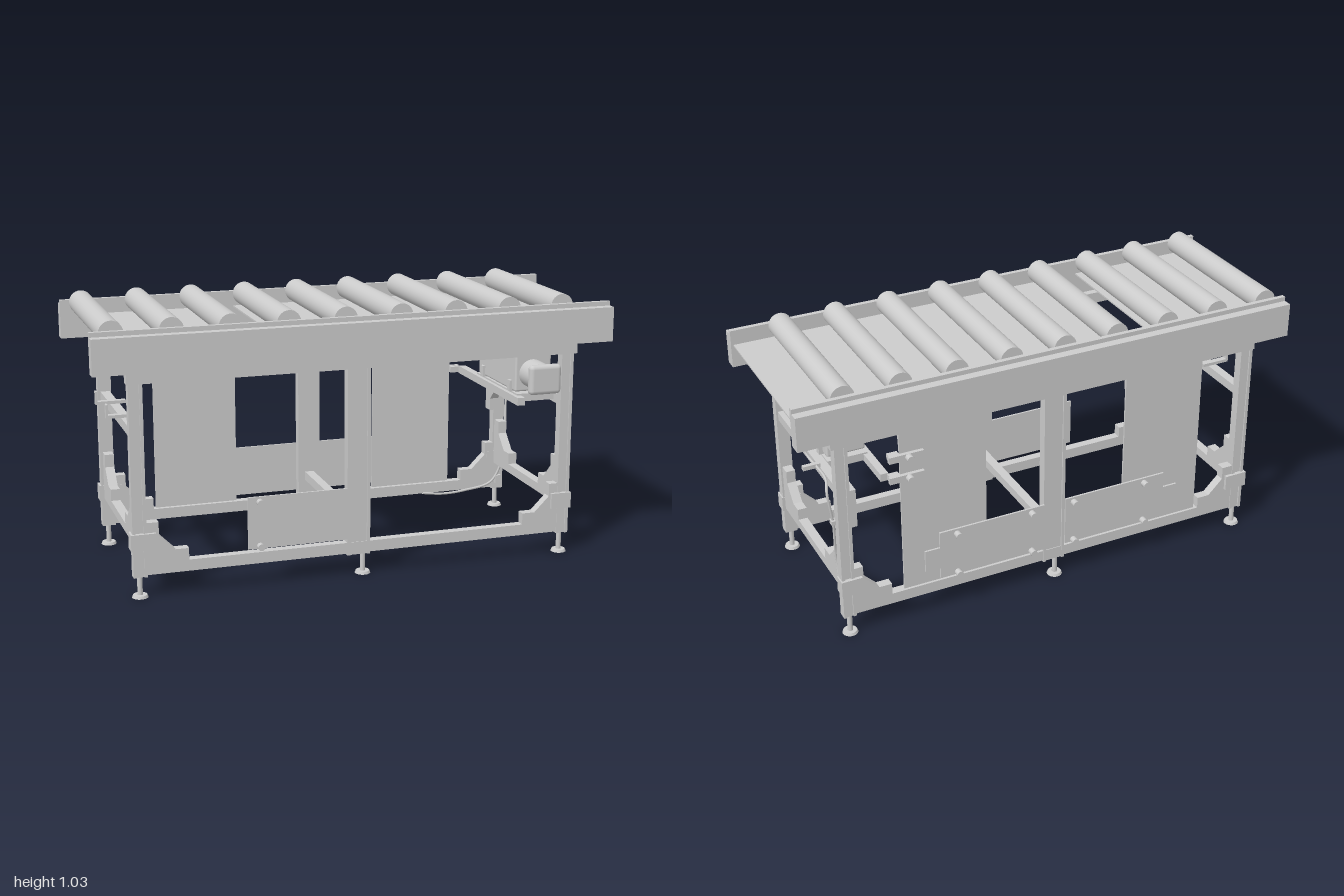
import * as THREE from 'three';
import { RoundedBoxGeometry } from 'three/addons/geometries/RoundedBoxGeometry.js';

const material = new THREE.MeshStandardMaterial({ color: 0xcccccc, side: THREE.DoubleSide });

export function createModel() {
  const model = new THREE.Group();

  const add = (name, geometry) => {
    const mesh = new THREE.Mesh(geometry, material);
    mesh.name = name;
    model.add(mesh);
    return mesh;
  };
  // Box given by its extents on each axis
  const box = (name, x0, x1, y0, y1, z0, z1) => {
    const mesh = add(name, new THREE.BoxGeometry(x1 - x0, y1 - y0, Math.abs(z1 - z0)));
    mesh.position.set((x0 + x1) / 2, (y0 + y1) / 2, (z0 + z1) / 2);
    return mesh;
  };
  // Cylinder along z
  const rod = (name, x, y, z0, z1, r, sides = 20) => {
    const geometry = new THREE.CylinderGeometry(r, r, Math.abs(z1 - z0), sides).rotateX(Math.PI / 2);
    add(name, geometry).position.set(x, y, (z0 + z1) / 2);
  };
  const outline = (points) => new THREE.Shape(points.map(([x, y]) => new THREE.Vector2(x, y)));
  const extrude = (points, depth) =>
    new THREE.ExtrudeGeometry(outline(points), { depth, bevelEnabled: false });

  // Rollers
  for (let i = 0; i < 9; i++) rod('roller', -0.92 + i * 0.216, 0.985, -0.32, 0.32, 0.045, 40);

  // Sheets under the rollers, with an open gap
  box('rollerSheet', -0.92, -0.445, 0.93, 0.936, -0.325, 0.325);
  box('rollerSheet', -0.315, 0.99, 0.93, 0.936, -0.325, 0.325);

  // Frame sides, front and back
  const railProfile = [[0.325, 0.845], [0.375, 0.845], [0.375, 0.978], [0.34, 0.978],
    [0.34, 0.995], [0.322, 0.995], [0.322, 0.94], [0.325, 0.94]];
  for (const s of [1, -1]) {
    const rail = extrude(railProfile.map(([z, y]) => [-s * z, y]), 2).rotateY(Math.PI / 2);
    add('sideRail', rail).position.x = -1;

    box('topBeam', -0.875, 0.87, 0.8, 0.845, s * 0.297, s * 0.34);
    box('bottomBeam', -0.82, 0.82, 0.087, 0.13, s * 0.3, s * 0.335);

    // Legs with raised edge strips, and levelling feet
    const footX = [-0.845, s > 0 ? 0.012 : -0.025, 0.83];
    [[-0.87, -0.818], [-0.055, 0.035], [0.808, 0.857]].forEach(([x0, x1], i) => {
      box('leg', x0, x1, 0.08, 0.845, s * 0.3, s * 0.332);
      box('legEdge', x0, x0 + 0.012, 0.08, 0.845, s * 0.33, s * 0.338);
      box('legEdge', x1 - 0.012, x1, 0.08, 0.845, s * 0.33, s * 0.338);
      const stem = add('footStem', new THREE.CylinderGeometry(0.01, 0.01, 0.08, 16));
      stem.position.set(footX[i], 0.045, s * 0.317);
      const disc = add('footDisc', new THREE.CylinderGeometry(0.026, 0.03, 0.01, 24));
      disc.position.set(footX[i], 0.005, s * 0.317);
    });

    // Clamp blocks around the corner legs
    box('legClamp', -0.878, -0.785, 0.185, 0.247, s * 0.298, s * 0.348);
    box('legClamp', 0.78, 0.862, 0.185, 0.247, s * 0.298, s * 0.348);
  }

  // Cross beams
  for (const x of [-0.842, -0.01, 0.832]) box('lowerCrossBeam', x - 0.018, x + 0.018, 0.195, 0.23, -0.3, 0.3);
  for (const x of [-0.842, 0.832]) box('upperCrossBeam', x - 0.018, x + 0.018, 0.595, 0.63, -0.3, 0.3);

  // Corner gussets: local corner at the origin, arms along +x and +y
  const gussetPoints = [[0, 0], [0.155, 0], [0.155, 0.045], [0.105, 0.045], [0.045, 0.105], [0.045, 0.155], [0, 0.155]];
  const gusset = (sx, sy, alongZ, x, y, z) => {
    const geometry = extrude(gussetPoints.map(([a, b]) => [a * sx, b * sy]), 0.036).translate(0, 0, -0.018);
    if (alongZ) geometry.rotateY(-Math.PI / 2);
    add('gusset', geometry).position.set(x, y, z);
  };
  for (const s of [1, -1]) {
    for (const x of [-0.842, 0.832]) gusset(-s, 1, true, x, 0.23, s * 0.3);
    for (const sx of [1, -1]) gusset(-sx, 1, false, sx * 0.818, 0.13, s * 0.317);
  }
  gusset(1, -1, true, 0.79, 0.595, -0.3);

  // Tall back panels
  for (const [x0, x1] of [[-0.65, -0.315], [0.27, 0.61]]) {
    box('backPanel', x0, x1, 0.13, 0.81, -0.325, -0.317);
    box('backPanelFlange', x0, x1, 0.745, 0.81, -0.317, -0.312);
  }

  // Low cover plates: tabbed pair at the back, plain one at the front
  for (const s of [1, -1]) {
    const points = [[0.035, 0.145], [0.47, 0.145], [0.47, 0.19], [0.53, 0.19],
      [0.53, 0.28], [0.47, 0.28], [0.47, 0.345], [0.035, 0.345]];
    const plate = extrude(points.map(([x, y]) => [s * x - (s < 0 ? 0.02 : 0), y]), 0.008);
    add('backCoverPlate', plate).position.z = -0.344;
    for (const x of [0.09, 0.4]) for (const y of [0.155, 0.325]) rod('coverBolt', s * x, y, -0.34, -0.37, 0.013);
  }
  box('frontCoverPlate', -0.44, -0.05, 0.145, 0.345, 0.33, 0.338);
  for (const y of [0.155, 0.325]) rod('coverBolt', -0.395, y, 0.33, 0.361, 0.013);

  // Latches beside the right back panel
  for (const y of [0.615, 0.7]) {
    box('latchPlate', 0.52, 0.655, y - 0.013, y + 0.013, -0.34, -0.325);
    box('latchTongue', 0.61, 0.65, y - 0.012, y + 0.012, -0.325, -0.3);
    rod('latchPin', 0.58, y, -0.335, -0.365, 0.014);
  }

  // Motor on its support, axis along z
  box('motorSupport', 0.66, 0.815, 0.605, 0.636, -0.14, 0.26);
  box('motorSupportBeam', 0.645, 0.675, 0.6, 0.63, -0.3, 0.3);
  const motor = add('motorBody', new RoundedBoxGeometry(0.15, 0.145, 0.36, 3, 0.008));
  motor.position.set(0.735, 0.712, 0.06);
  box('terminalBox', 0.675, 0.795, 0.67, 0.822, -0.04, 0.15);
  for (const z of [0.197, -0.068]) box('motorFoot', 0.65, 0.825, 0.636, 0.68, z - 0.013, z + 0.013);
  rod('motorShaftHousing', 0.73, 0.71, 0.24, 0.335, 0.055, 32);
  const cap = add('motorCap', new RoundedBoxGeometry(0.13, 0.115, 0.037, 3, 0.016));
  cap.position.set(0.73, 0.71, 0.351);

  // Cable from the motor down the back corner leg and along the bottom beam
  const cablePoints = [[0.8, 0.77, 0.235], [0.83, 0.79, 0.18], [0.86, 0.83, 0.145], [0.89, 0.825, 0],
    [0.9, 0.77, -0.075], [0.88, 0.665, -0.1], [0.865, 0.642, -0.16], [0.87, 0.645, -0.27],
    [0.88, 0.61, -0.3], [0.863, 0.48, -0.297], [0.85, 0.3, -0.272], [0.84, 0.18, -0.29],
    [0.8, 0.11, -0.298], [0.68, 0.086, -0.292], [0.58, 0.08, -0.292], [0.49, 0.09, -0.295]];
  const path = new THREE.CatmullRomCurve3(cablePoints.map((p) => new THREE.Vector3(...p)));
  add('cable', new THREE.TubeGeometry(path, 120, 0.005, 8));
  box('cableClip', 0.85, 0.915, 0.634, 0.65, -0.162, -0.145);
  box('cableClip', 0.85, 0.872, 0.475, 0.492, -0.31, -0.285);
  box('cablePlug', 0.82, 0.845, 0.105, 0.14, -0.31, -0.285);

  // Hooks on the left end cross beam
  for (const z of [-0.1, 0.12]) {
    box('hookArm', -0.915, -0.8, 0.63, 0.642, z - 0.012, z + 0.012);
    box('hookTip', -0.915, -0.907, 0.642, 0.682, z - 0.012, z + 0.012);
  }

  return model;
}
